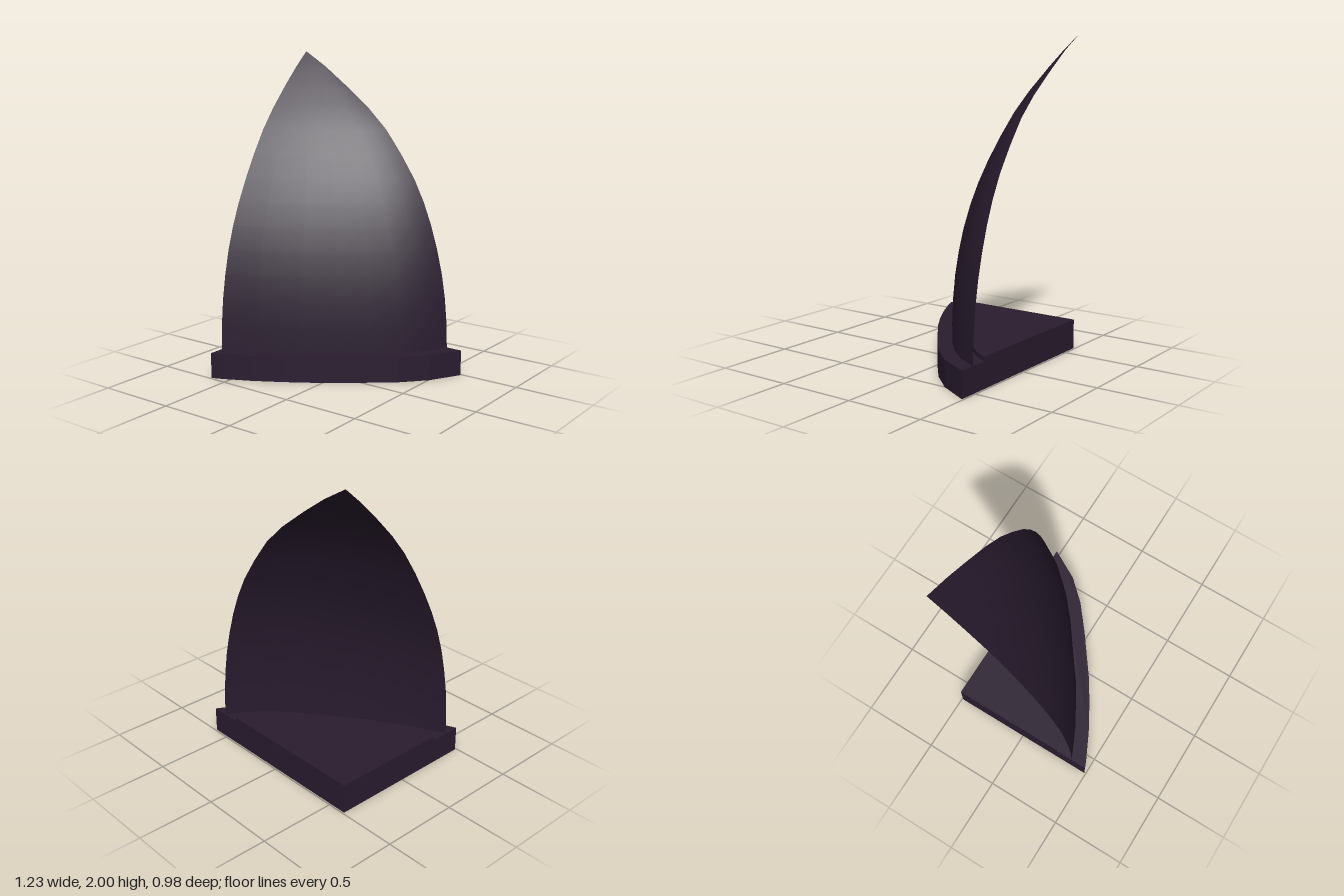
import * as THREE from 'three';

const CORNER_X = -0.615, CORNER_Z = -0.49, BASE_H = 0.163, FLOOR_H = 0.19;

// Foot of the shell, [x, z] from the right edge round to the front edge
const shellFoot = [
  [0.51, -0.49], [0.43, -0.347], [0.315, -0.22], [0.174, -0.1],
  [0.02, 0.013], [-0.157, 0.144], [-0.407, 0.292], [-0.615, 0.39],
];

// Outer rim of the base slab, [x, z]
const baseRim = [
  [0.614, -0.49], [0.502, -0.288], [0.37, -0.144], [0.2, -0.007],
  [-0.062, 0.187], [-0.21, 0.282], [-0.374, 0.377], [-0.541, 0.459], [-0.615, 0.49],
];

// Rim of the raised floor inside the shell, [x, z]
const floorRim = [
  [0.4, -0.49], [0.34, -0.395], [0.24, -0.29], [0.11, -0.178],
  [-0.04, -0.067], [-0.21, 0.058], [-0.45, 0.2], [-0.615, 0.275],
];

// Heights of the shell with its reach from the corner along x and z
const profile = [
  [BASE_H, 1, 1], [0.32, 0.995, 0.994], [0.487, 0.98, 0.976], [0.64, 0.957, 0.947],
  [0.79, 0.924, 0.909], [0.94, 0.882, 0.855], [1.08, 0.832, 0.79], [1.22, 0.768, 0.712],
  [1.37, 0.678, 0.618], [1.52, 0.575, 0.511], [1.65, 0.452, 0.396],
  [1.79, 0.288, 0.25], [1.905, 0.143, 0.12], [2, 0, 0],
];

// Curved sail-like surface whose sections shrink and flatten toward a tip above the corner
function shellGeometry() {
  const n = shellFoot.length, pos = [], index = [];
  const [x0, z0] = shellFoot[0], [x1, z1] = shellFoot[n - 1];
  for (const [y, sx, sz] of profile)
    for (const [x, z] of shellFoot) {
      // nearest point on the straight line between the two edges
      const t = ((x - x0) * (x1 - x0) + (z - z0) * (z1 - z0)) / ((x1 - x0) ** 2 + (z1 - z0) ** 2);
      const fx = THREE.MathUtils.lerp(x0 + t * (x1 - x0), x, sx);
      const fz = THREE.MathUtils.lerp(z0 + t * (z1 - z0), z, sx);
      pos.push(CORNER_X + (fx - CORNER_X) * sx, y, CORNER_Z + (fz - CORNER_Z) * sz);
    }
  for (let i = 0; i < profile.length - 1; i++)
    for (let j = 0; j < n - 1; j++) {
      const a = i * n + j, b = a + n;
      index.push(a, b, a + 1);
      if (i < profile.length - 2) index.push(b, b + 1, a + 1);
    }
  const g = new THREE.BufferGeometry();
  g.setAttribute('position', new THREE.Float32BufferAttribute(pos, 3));
  g.setIndex(index);
  g.computeVertexNormals();
  return g;
}

// Flat slab with a straight corner and a bowed rim
function slabGeometry(rim, bottom, top) {
  const outline = [[CORNER_X, CORNER_Z], ...rim];
  const shape = new THREE.Shape(outline.map(([x, z]) => new THREE.Vector2(x, -z)));
  const g = new THREE.ExtrudeGeometry(shape, { depth: top - bottom, bevelEnabled: false });
  return g.rotateX(-Math.PI / 2).translate(0, bottom, 0);
}

export function createModel() {
  const darkPlum = new THREE.MeshStandardMaterial({ color: 0x291c2f, side: THREE.DoubleSide });
  darkPlum.name = 'darkPlum';

  const group = new THREE.Group();
  group.name = 'curvedShellOnBase';
  const add = (name, geometry) => {
    const mesh = new THREE.Mesh(geometry, darkPlum);
    mesh.name = name;
    group.add(mesh);
  };
  add('base', slabGeometry(baseRim, 0, BASE_H));
  add('raisedFloor', slabGeometry(floorRim, BASE_H, FLOOR_H));
  add('shell', shellGeometry());
  return group;
}
